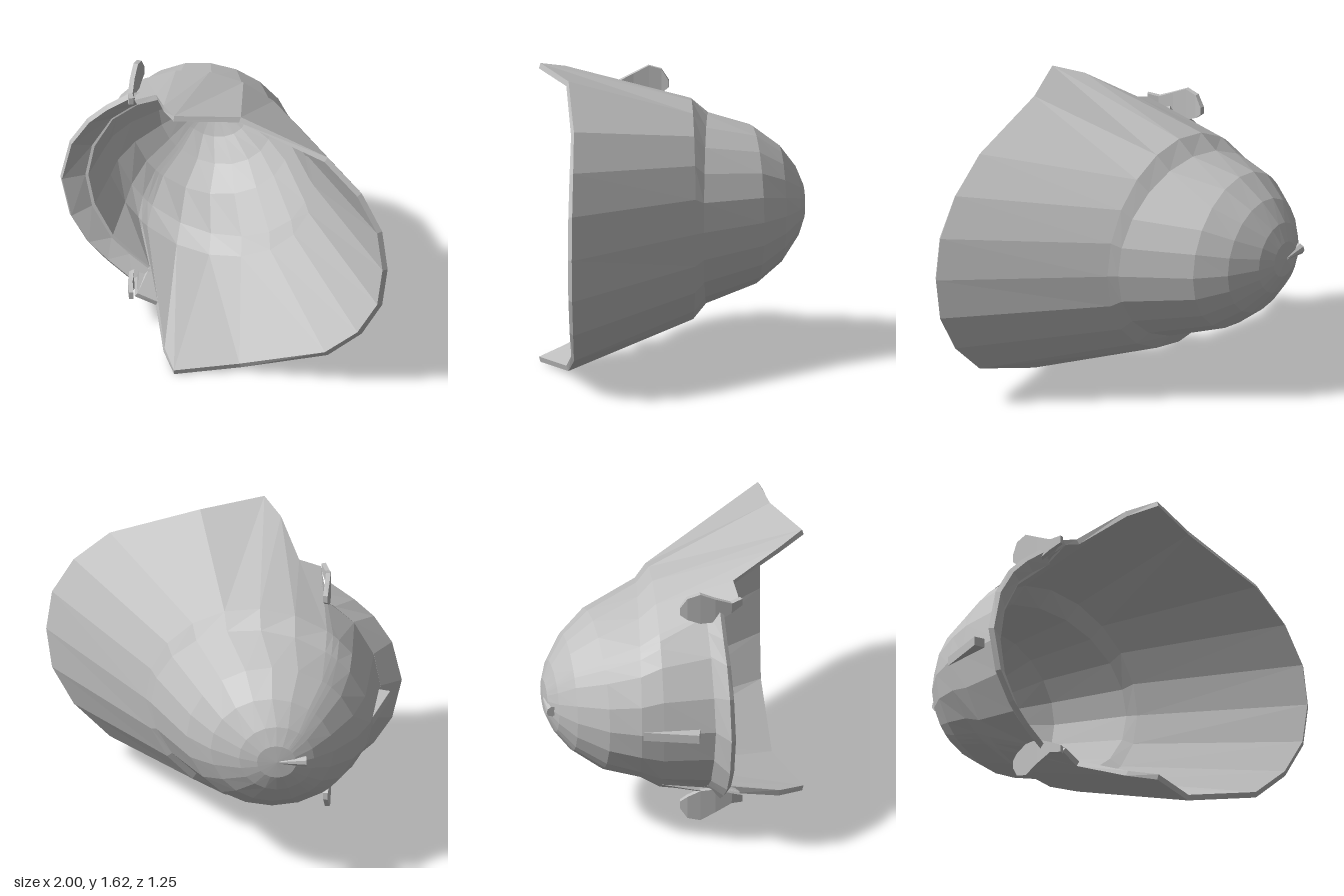
import * as THREE from 'three';

const MID = 0.81; // height of the mirror plane
const steel = new THREE.MeshStandardMaterial({ color: 0xc0c0c0, flatShading: true });
steel.name = 'steel';

// Thick closed plate from a grid of [x, offset from mirror plane, z] rows.
function plate(name, rows, thickness, wrap = false, capNormal = null) {
  const R = rows.length, C = rows[0].length, N = R * C;
  const at = (r, c) => r * C + (c % C);
  const pos = rows.flat().flatMap(([x, h, z]) => [x, MID + h, z]);
  const idx = [];
  const quad = (a, b, c, d) => idx.push(a, b, c, a, c, d);
  const cols = wrap ? C : C - 1;
  for (let r = 0; r < R - 1; r++)
    for (let c = 0; c < cols; c++) {
      const a = at(r, c), b = at(r, c + 1), d = at(r + 1, c), e = at(r + 1, c + 1);
      idx.push(a, d, b, b, d, e);
    }
  const outer = new THREE.BufferGeometry();
  outer.setAttribute('position', new THREE.Float32BufferAttribute(pos, 3));
  outer.setIndex(idx.slice());
  outer.computeVertexNormals();
  // second skin, moved inward
  const n = new THREE.Vector3();
  for (let i = 0; i < N; i++) {
    if (capNormal && i < C) n.copy(capNormal);
    else n.fromBufferAttribute(outer.attributes.normal, i);
    pos.push(pos[3 * i] - n.x * thickness, pos[3 * i + 1] - n.y * thickness, pos[3 * i + 2] - n.z * thickness);
  }
  const skin = idx.slice();
  for (let i = 0; i < skin.length; i += 3) idx.push(skin[i] + N, skin[i + 2] + N, skin[i + 1] + N);
  // edges
  for (let c = 0; c < cols; c++) {
    const d = at(R - 1, c), e = at(R - 1, c + 1), a = at(0, c), b = at(0, c + 1);
    quad(e, d, d + N, e + N);
    if (!capNormal) quad(a, b, b + N, a + N);
  }
  if (!wrap)
    for (let r = 0; r < R - 1; r++) {
      const a = at(r, 0), d = at(r + 1, 0), b = at(r, C - 1), e = at(r + 1, C - 1);
      quad(d, a, a + N, d + N);
      quad(b, e, e + N, b + N);
    }
  const geo = new THREE.BufferGeometry();
  geo.setAttribute('position', new THREE.Float32BufferAttribute(pos, 3));
  geo.setIndex(idx);
  const flat = geo.toNonIndexed();
  flat.computeVertexNormals();
  const mesh = new THREE.Mesh(flat, steel);
  mesh.name = name;
  return mesh;
}

const flip = ([x, h, z]) => [x, -h, z];

export function createModel() {
  const model = new THREE.Group();
  model.name = 'helmet';

  // Helmet bowl: tilted rings from the crown down, then the flared rim
  const half = [0, 18, 36, 46, 50, 54, 72, 90, 108, 126, 144, 162, 180];
  const closeRing = (pts) => [...pts, ...pts.slice(1, -1).reverse().map(flip)];
  // front x, front z, back x, back z, half width
  const rings = [
    [-0.775, -0.56, -0.775, -0.56, 0],
    [-0.86, -0.505, -0.68, -0.607, 0.095],
    [-0.92, -0.42, -0.58, -0.625, 0.19],
    [-0.97, -0.30, -0.40, -0.617, 0.31],
    [-1.0, -0.11, -0.22, -0.565, 0.42],
    [-0.98, 0.06, 0.12, -0.36, 0.50],
    [-0.935, 0.17, 0.17, -0.335, 0.585],
  ];
  const rows = rings.map(([fx, fz, bx, bz, w]) => closeRing(half.map((deg) => {
    const t = THREE.MathUtils.degToRad(deg), k = (1 - Math.cos(t)) / 2;
    return [fx + (bx - fx) * k, w * Math.sin(t), fz + (bz - fz) * k];
  })));
  const rim = [
    [-0.82, 0, 0.43], [-0.79, 0.19, 0.41], [-0.70, 0.38, 0.36], [-0.52, 0.55, 0.27],
    [-0.455, 0.615, 0.425], [-0.36, 0.66, 0.36], [-0.14, 0.77, 0.54], [0.01, 0.81, 0.62],
    [0.25, 0.785, 0.36], [0.68, 0.62, 0.15], [0.86, 0.44, 0.08], [0.97, 0.23, 0.04], [1.0, 0, 0.03],
  ];
  rows.push(closeRing(rim));
  model.add(plate('bowl', rows, 0.03, true, new THREE.Vector3(-0.5, 0, -0.86)));

  // Brow band flaring out above the face opening
  const mirrorRow = (pts) => [...pts.slice(1).reverse().map(flip), ...pts];
  model.add(plate('browBand', [
    mirrorRow([[-0.825, 0, 0.42], [-0.795, 0.195, 0.40], [-0.70, 0.385, 0.35], [-0.61, 0.475, 0.305], [-0.50, 0.56, 0.25]]),
    mirrorRow([[-0.89, 0, 0.53], [-0.845, 0.23, 0.505], [-0.76, 0.385, 0.46], [-0.67, 0.485, 0.41], [-0.55, 0.585, 0.35]]),
  ], 0.03));

  // Rounded side ears: x, z, lower and upper offset
  const ear = [
    [-0.63, 0.155, 0.58, 0.62], [-0.62, 0.19, 0.55, 0.68], [-0.59, 0.25, 0.52, 0.70],
    [-0.55, 0.32, 0.52, 0.66], [-0.50, 0.39, 0.56, 0.62], [-0.455, 0.43, 0.59, 0.63],
  ];
  const low = ear.map(([x, z, a]) => [x, a, z]), high = ear.map(([x, z, , b]) => [x, b, z]);
  model.add(plate('upperEar', [low, high], 0.025));
  model.add(plate('lowerEar', [low.map(flip), high.map(flip)].map((r) => r.reverse()), 0.025));

  // Brow fin: triangular block in the mirror plane
  const finShape = new THREE.Shape([[-0.985, -0.07], [-0.92, -0.36], [-0.86, -0.345]]
    .map(([x, y]) => new THREE.Vector2(x, y)));
  const fin = new THREE.Mesh(
    new THREE.ExtrudeGeometry(finShape, { depth: 0.05, bevelEnabled: false }), steel);
  fin.name = 'browFin';
  fin.rotation.x = -Math.PI / 2;
  fin.position.y = MID - 0.025;
  model.add(fin);

  // Crown spur: blunt peg growing out of the crown toward the brow
  const from = new THREE.Vector3(-0.785, MID, -0.55), to = new THREE.Vector3(-0.9, MID, -0.468);
  const spur = new THREE.Mesh(new THREE.CylinderGeometry(0.03, 0.008, from.distanceTo(to), 8), steel);
  spur.name = 'crownSpur';
  spur.position.copy(from).lerp(to, 0.5);
  spur.quaternion.setFromUnitVectors(new THREE.Vector3(0, 1, 0), to.clone().sub(from).normalize());
  model.add(spur);

  return model;
}
